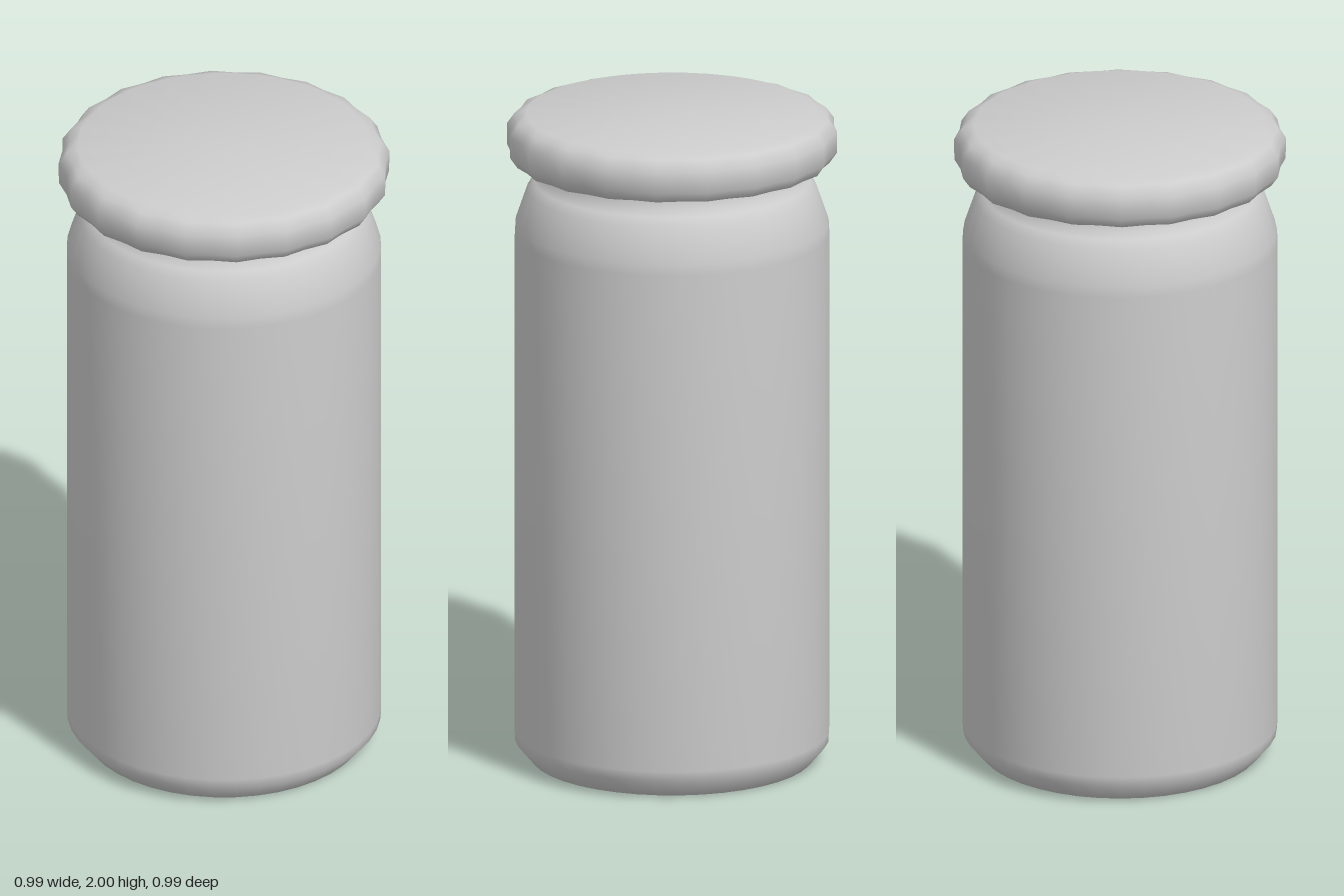
import * as THREE from 'three';
import { toCreasedNormals } from 'three/addons/utils/BufferGeometryUtils.js';

const SEGMENTS = 40;

// Turned shape from [radius, height] pairs, listed bottom to top
function turned(profile) {
  return new THREE.LatheGeometry(profile.map(([r, y]) => new THREE.Vector2(r, y)), SEGMENTS);
}

// Draw in every second column of the rim to make crimped ribs
function crimp(geometry, innerRadius, factor) {
  const pos = geometry.attributes.position;
  const rows = pos.count / (SEGMENTS + 1);
  for (let i = 0; i < pos.count; i++) {
    const column = Math.floor(i / rows);
    const x = pos.getX(i), z = pos.getZ(i);
    if (column % 2 === 1 && Math.hypot(x, z) > innerRadius) {
      pos.setXYZ(i, x * factor, pos.getY(i), z * factor);
    }
  }
  return geometry;
}

export function createModel() {
  const group = new THREE.Group();
  group.name = 'jar';
  const grey = new THREE.MeshStandardMaterial({ color: 0xcccccc });
  grey.name = 'light grey';

  const add = (name, geometry) => {
    const mesh = new THREE.Mesh(toCreasedNormals(geometry, 0.95), grey);
    mesh.name = name;
    group.add(mesh);
  };

  // Body: bevelled base, straight wall, rounded shoulder and narrow neck
  add('body', turned([
    [0, 0], [0.39, 0], [0.42, 0.003], [0.468, 0.06], [0.47, 0.09],
    [0.47, 1.63], [0.468, 1.665], [0.432, 1.77], [0.412, 1.795],
    [0.388, 1.812], [0.386, 1.86],
  ]));

  // Lid: flat disc with a crimped, rounded rim
  add('lid', crimp(turned([
    [0, 1.855], [0.44, 1.855], [0.472, 1.859], [0.494, 1.89],
    [0.495, 1.955], [0.472, 1.988], [0.435, 2], [0, 2],
  ]), 0.46, 0.977));

  return group;
}
